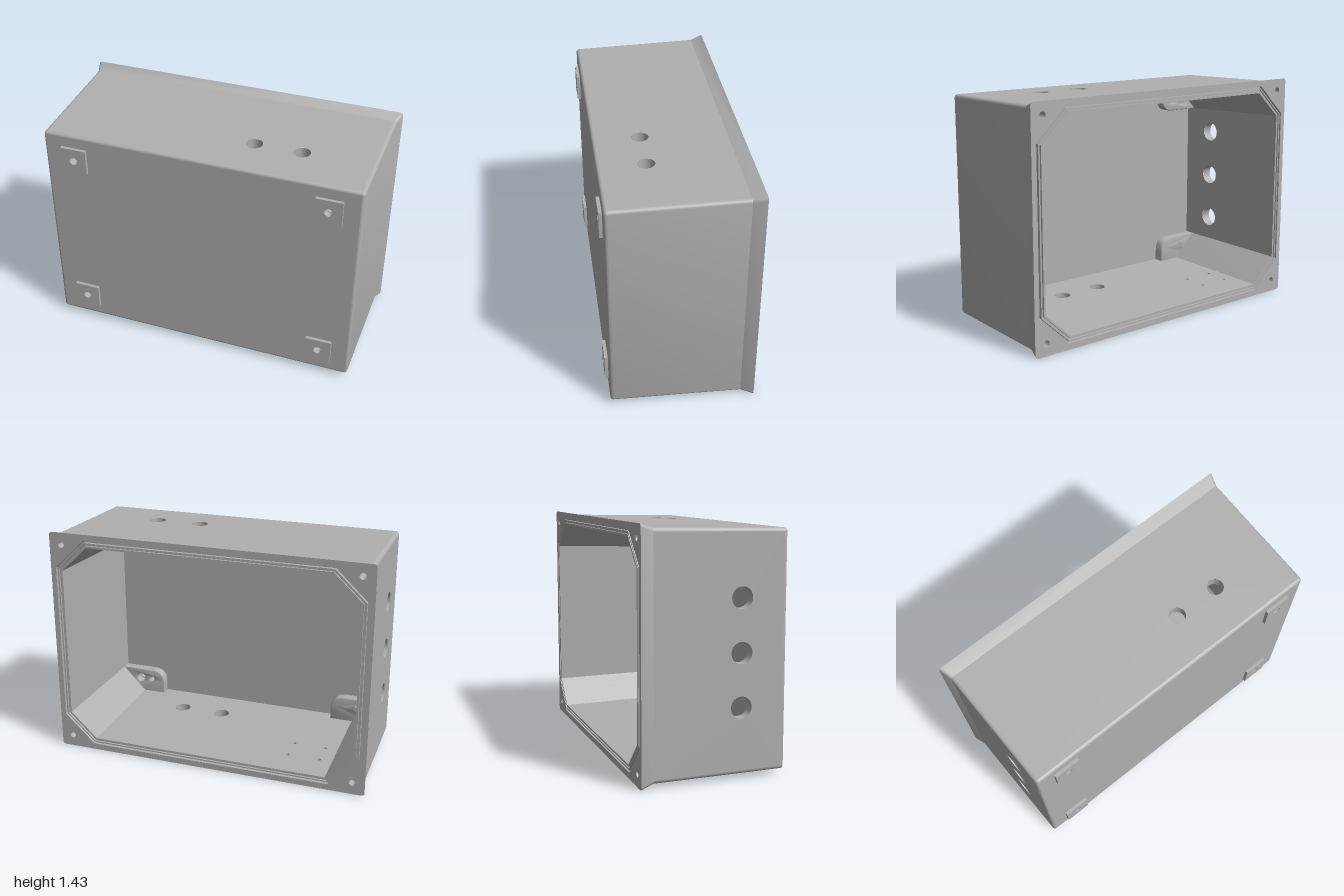
import * as THREE from 'three';
import { toCreasedNormals } from 'three/addons/utils/BufferGeometryUtils.js';

const CY = 0.715;                    // height of the box centre
const BACK = -0.437, FRONT = 0.417;  // rim plane and front face
const INNER = 0.37, FLARE = -0.36;   // inside of the front wall, start of the flared rim
const STEPS = 4;                     // segments per corner

const grey = new THREE.MeshStandardMaterial({ color: 0xb0b0b0 });
grey.name = 'grey';
const greyInside = new THREE.MeshStandardMaterial({ color: 0xb0b0b0, side: THREE.DoubleSide });
greyInside.name = 'grey bore';

// Cross-sections: half sizes w, h and where the flat sides end (cu, cv)
const rounded = (z, w, h, r) => ({ z, w, h, cu: w - r, cv: h - r, round: true });
const octagon = (z, d) => ({ z, w: 0.925 + d, h: 0.635 + d, cu: 0.755 + 0.414 * d, cv: 0.475 + 0.414 * d });

// Outline of a section, counter-clockwise, starting at the +x +y corner
function ring(s) {
  const pts = [];
  for (let k = 0; k < 4; k++) {
    const sx = k === 0 || k === 3 ? 1 : -1, sy = k < 2 ? 1 : -1;
    for (let i = 0; i <= STEPS; i++) {
      const t = (k % 2 ? STEPS - i : i) / STEPS, a = t * Math.PI / 2;
      const u = s.cu + (s.w - s.cu) * (s.round ? Math.cos(a) : 1 - t);
      const v = s.cv + (s.h - s.cv) * (s.round ? Math.sin(a) : t);
      pts.push(new THREE.Vector2(sx * u, sy * v));
    }
  }
  return pts;
}

// Skin through sections; flat sides listed in skip are left out of the first band
function loft(sections, skip = []) {
  const pos = [];
  for (let j = 0; j + 1 < sections.length; j++) {
    const a = ring(sections[j]), b = ring(sections[j + 1]), n = a.length;
    for (let i = 0; i < n; i++) {
      const side = i % (STEPS + 1) === STEPS ? Math.floor(i / (STEPS + 1)) : -1;
      if (j === 0 && skip.includes(side)) continue;
      const k = (i + 1) % n;
      const A = [a[i].x, a[i].y + CY, sections[j].z], B = [a[k].x, a[k].y + CY, sections[j].z];
      const C = [b[k].x, b[k].y + CY, sections[j + 1].z], D = [b[i].x, b[i].y + CY, sections[j + 1].z];
      pos.push(...A, ...B, ...C, ...A, ...C, ...D);
    }
  }
  const g = new THREE.BufferGeometry();
  g.setAttribute('position', new THREE.Float32BufferAttribute(pos, 3));
  return toCreasedNormals(g, 0.6);
}

const circle = (x, y, r) => new THREE.Path().absarc(x, y, r, 0, Math.PI * 2, true);

// Sides: 0 top, 1 the -x wall, 2 bottom. Holes are [position along wall, z, radius]
const SIDES = [{ n: [0, 1], t: [-1, 0] }, { n: [-1, 0], t: [0, -1] }, { n: [0, -1], t: [1, 0] }];
const HOLES = [
  [[0.25, 0.14, 0.05], [0.535, 0.14, 0.05]],
  [[-0.305, 0.15, 0.062], [0, 0.15, 0.062], [0.305, 0.15, 0.062]],
  [[0.11, 0.145, 0.05], [0.39, 0.145, 0.05],
    ...[-0.47, -0.67].flatMap(x => [-0.095, -0.245].map(z => [x, z, 0.012]))],
];
const wallOffset = (a, b, side, z) => {
  const key = side === 1 ? 'w' : 'h';
  return THREE.MathUtils.mapLinear(z, a.z, b.z, a[key], b[key]);
};

// Drilled flat wall between sections a and b; dir is 1 facing out, -1 facing in
function panel(a, b, side, dir) {
  const { n, t } = SIDES[side], end = side === 1 ? 'cv' : 'cu', sign = t[0] + t[1];
  const shape = new THREE.Shape([[-a[end], a.z], [a[end], a.z], [b[end], b.z], [-b[end], b.z]]
    .map(p => new THREE.Vector2(...p)));
  for (const [c, z, r] of HOLES[side]) shape.holes.push(circle(c * sign * dir, z, r));
  const g = new THREE.ShapeGeometry(shape, 16), p = g.attributes.position;
  for (let i = 0; i < p.count; i++) {
    const s = p.getX(i) * dir, z = p.getY(i), o = wallOffset(a, b, side, z);
    p.setXYZ(i, n[0] * o + t[0] * s, n[1] * o + t[1] * s + CY, z);
  }
  g.computeVertexNormals();
  return g;
}

export function createModel() {
  const model = new THREE.Group();
  model.name = 'enclosure';
  const add = (name, geometry, material = grey) => {
    const mesh = new THREE.Mesh(geometry, material);
    mesh.name = name;
    model.add(mesh);
    return mesh;
  };
  const bore = (name, r, length) => add(name, new THREE.CylinderGeometry(r, r, length, 32, 1, true), greyInside);
  const corners = [[1, 1], [-1, 1], [-1, -1], [1, -1]];

  // Outer skin: flared rim, tapered body, rounded front edge
  const rim = rounded(BACK, 1, 0.715, 0.02);
  const bodyBack = rounded(FLARE, 0.977, 0.692, 0.02);
  const bodyFront = rounded(0.4, 0.965, 0.68, 0.02);
  add('flaredRim', loft([rim, bodyBack]));
  add('bodyCorners', loft([bodyBack, bodyFront], [0, 1, 2]));
  const edge = [];
  for (let i = 0; i <= 4; i++) {
    const a = i * Math.PI / 8, inset = 0.017 * (1 - Math.cos(a));
    edge.push(rounded(0.4 + 0.017 * Math.sin(a), 0.965 - inset, 0.68 - inset, 0.02 - inset));
  }
  add('frontEdge', loft(edge));

  // Cavity with chamfered corners, running out into the gasket grooves
  const cavityFront = { z: INNER, w: 0.9, h: 0.612, cu: 0.747, cv: 0.455 };
  const opening = octagon(BACK, 0);
  const grooves = [[0.012, 0], [0.012, 0.012], [0.022, 0.012], [0.022, 0],
    [0.03, 0], [0.03, 0.02], [0.042, 0.02], [0.042, 0]];
  add('cavity', loft([cavityFront, opening, ...grooves.map(([d, depth]) => octagon(BACK + depth, d))], [0, 1, 2]));

  // Drilled walls, with a bore through each hole
  ['top', 'side', 'bottom'].forEach((name, side) => {
    add(name + 'WallOutside', panel(bodyBack, bodyFront, side, 1));
    add(name + 'WallInside', panel(opening, cavityFront, side, -1));
    const { n, t } = SIDES[side], sign = t[0] + t[1];
    for (const [c, z, r] of HOLES[side]) {
      const o = wallOffset(bodyBack, bodyFront, side, z), i = wallOffset(opening, cavityFront, side, z);
      const m = (o + i) / 2, s = c * sign;
      const tube = bore(name + 'Hole', r, o - i);
      if (side === 1) tube.rotation.z = Math.PI / 2;
      tube.position.set(n[0] * m + t[0] * s, n[1] * m + t[1] * s + CY, z);
    }
  });

  // Flat faces across z: front wall (both sides) and rim face
  const MX = 0.775, MY = 0.521;      // mounting hole offsets
  const SX = 0.923, SY = 0.64;       // lid screw offsets
  const face = (name, outline, hx, hy, r, z, back) => {
    const shape = new THREE.Shape(ring(outline));
    for (const [sx, sy] of corners) shape.holes.push(circle(sx * hx, sy * hy, r));
    if (name === 'rimFace') shape.holes.push(new THREE.Path(ring(octagon(0, 0.042))));
    const mesh = add(name, new THREE.ShapeGeometry(shape, 12));
    if (back) mesh.rotation.y = Math.PI;
    mesh.position.set(0, CY, z);
  };
  face('frontFace', edge[4], MX, MY, 0.025, FRONT, false);
  face('frontWallInside', cavityFront, MX, MY, 0.025, INNER, true);
  face('rimFace', rim, SX, SY, 0.02, BACK, true);

  for (const [sx, sy] of corners) {
    // Square mounting pad on the front
    const v = (x, y) => new THREE.Vector2(x, y);
    const pad = new THREE.Shape([v(-0.08, -0.08), v(0.08, -0.08), v(0.08, 0.08), v(-0.08, 0.08)]);
    pad.holes.push(circle(0, 0, 0.025));
    add('mountingPad', new THREE.ExtrudeGeometry(pad, { depth: 0.027, bevelEnabled: false, curveSegments: 12 }))
      .position.set(sx * MX, CY + sy * MY, 0.41);
    const through = bore('mountingBore', 0.025, FRONT - INNER);
    through.rotation.x = Math.PI / 2;
    through.position.set(sx * MX, CY + sy * MY, (FRONT + INNER) / 2);

    // Rounded boss in the cavity corner with a through hole and a pilot hole
    const boss = new THREE.Shape();
    boss.moveTo(sx * 0.93, sy * 0.455);
    boss.lineTo(sx * 0.69, sy * 0.455);
    boss.quadraticCurveTo(sx * 0.6, sy * 0.455, sx * 0.6, sy * 0.545);
    boss.lineTo(sx * 0.6, sy * 0.645);
    boss.lineTo(sx * 0.93, sy * 0.645);
    boss.closePath();
    boss.holes.push(circle(sx * MX, sy * MY, 0.03), circle(sx * 0.69, sy * MY, 0.015));
    const bossGeometry = new THREE.ExtrudeGeometry(boss, {
      depth: 0.07, bevelThickness: 0.008, bevelSize: 0.008, bevelOffset: -0.008, bevelSegments: 2, curveSegments: 10,
    });
    add('cornerBoss', toCreasedNormals(bossGeometry, 0.6)).position.set(0, CY, 0.318);

    // Blind lid screw hole in the rim
    const screw = bore('screwHole', 0.02, 0.12);
    screw.rotation.x = Math.PI / 2;
    screw.position.set(sx * SX, CY + sy * SY, BACK + 0.06);
    const floor = add('screwHoleFloor', new THREE.CircleGeometry(0.02, 24));
    floor.rotation.y = Math.PI;
    floor.position.set(sx * SX, CY + sy * SY, BACK + 0.12);
  }
  return model;
}
